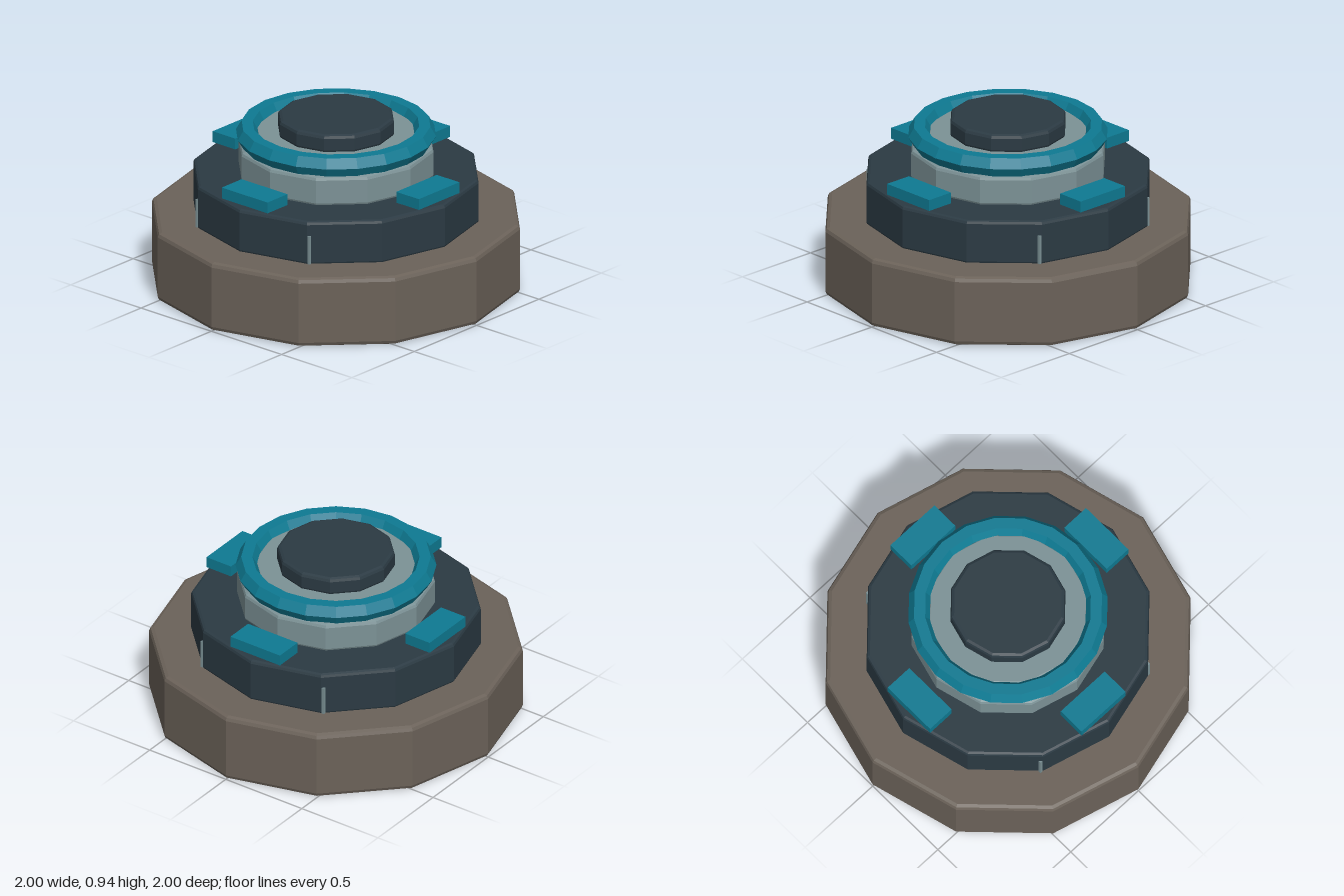
import * as THREE from 'three';

const paint = (color) => new THREE.MeshStandardMaterial({ color, flatShading: true });
const stone = paint(0x6b6259);
const slate = paint(0x2b3a43);
const steel = paint(0x7c9296);
const teal = paint(0x0e7a92);

export function createModel() {
  const model = new THREE.Group();
  model.name = 'tieredPedestal';

  const add = (name, geometry, material) => {
    const mesh = new THREE.Mesh(geometry, material);
    mesh.name = name;
    model.add(mesh);
    return mesh;
  };

  // twelve-sided disc with bevelled rims, from y0 to y1
  const disc = (name, radius, y0, y1, bevel, material) => {
    const k = bevel * 0.3;
    const profile = [
      [0, y0], [radius - bevel, y0], [radius - k, y0 + k], [radius, y0 + bevel],
      [radius, y1 - bevel], [radius - k, y1 - k], [radius - bevel, y1], [0, y1],
    ].map(([r, y]) => new THREE.Vector2(r, y));
    return add(name, new THREE.LatheGeometry(profile, 12), material);
  };

  // stacked tiers
  disc('base', 1, 0, 0.39, 0.025, stone);
  disc('middleTier', 0.775, 0.38, 0.63, 0.018, slate);
  disc('upperTier', 0.53, 0.62, 0.79, 0.02, steel);
  disc('innerPlate', 0.43, 0.78, 0.85, 0.005, steel);
  disc('cap', 0.315, 0.84, 0.945, 0.02, slate);

  // faceted ring around the cap
  const ring = add('ring', new THREE.TorusGeometry(0.475, 0.06, 6, 20), teal);
  ring.rotation.x = Math.PI / 2;
  ring.position.y = 0.84;

  // four pads on the middle tier
  for (let i = 0; i < 4; i++) {
    const angle = (i * Math.PI) / 2;
    const pad = add('pad', new THREE.BoxGeometry(0.325, 0.062, 0.16), teal);
    pad.position.set(Math.sin(angle) * 0.653, 0.67, Math.cos(angle) * 0.653);
    pad.rotation.y = angle;
  }

  // thin upright strips at four corners of the middle tier
  for (const sx of [-1, 1]) {
    for (const sz of [-1, 1]) {
      const strip = add('strip', new THREE.BoxGeometry(0.014, 0.17, 0.014), steel);
      strip.position.set(sx * 0.398, 0.465, sz * 0.662);
    }
  }

  return model;
}
